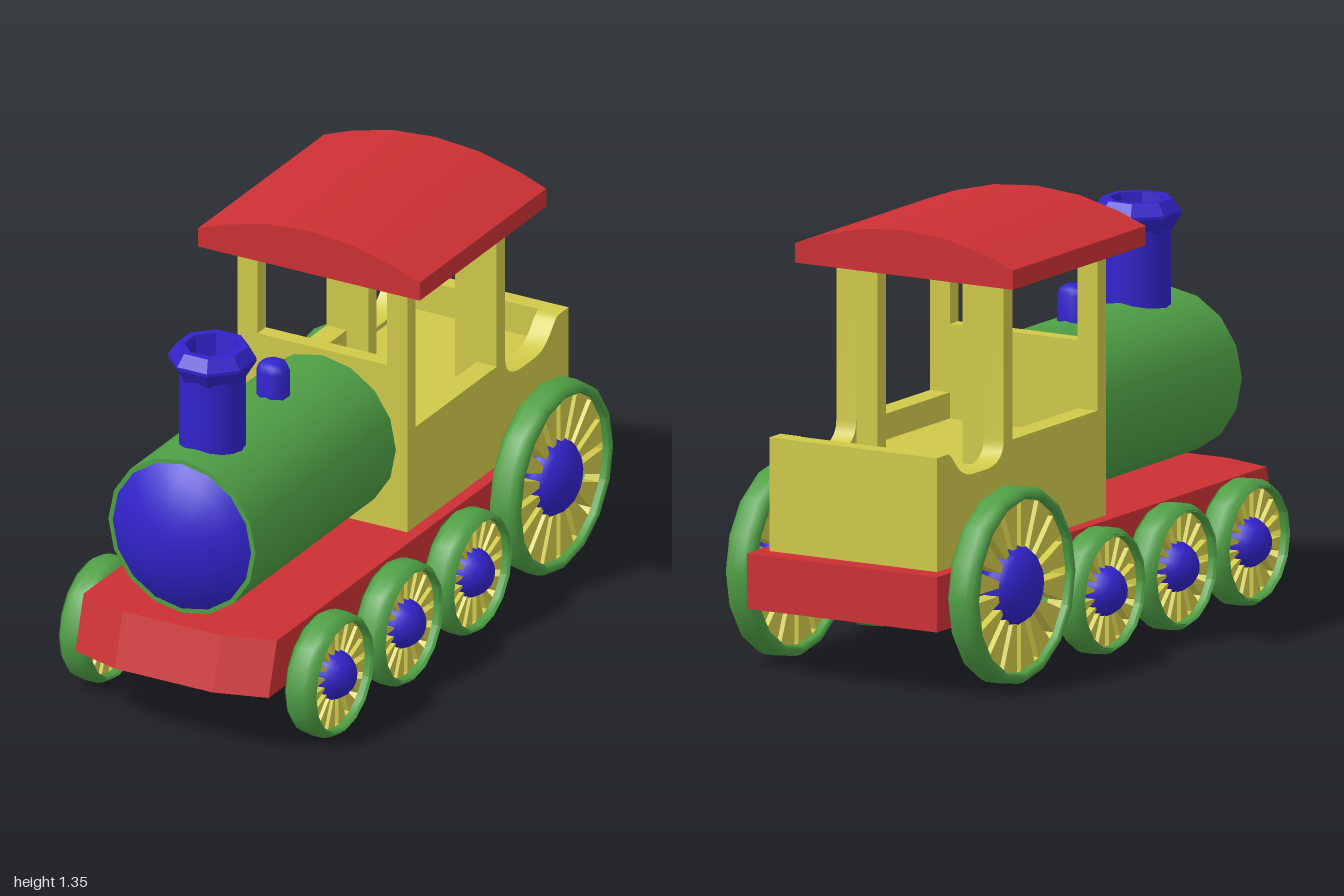
import * as THREE from 'three';
import { toCreasedNormals } from 'three/addons/utils/BufferGeometryUtils.js';
import { ConvexGeometry } from 'three/addons/geometries/ConvexGeometry.js';

const paint = (name, color) => {
  const m = new THREE.MeshStandardMaterial({ color });
  m.name = name;
  return m;
};

export function createModel() {
  const red = paint('red', 0xcc3033);
  const green = paint('green', 0x4f9f45);
  const blue = paint('blue', 0x3223cc);
  const yellow = paint('yellow', 0xcfc94a);
  const model = new THREE.Group();
  model.name = 'toyLocomotive';

  const add = (name, geometry, material, x = 0, y = 0, z = 0, parent = model) => {
    const mesh = new THREE.Mesh(geometry, material);
    mesh.name = name;
    mesh.position.set(x, y, z);
    parent.add(mesh);
    return mesh;
  };
  // Box given by its min and max corners
  const box = (name, material, [x0, y0, z0], [x1, y1, z1]) =>
    add(name, new THREE.BoxGeometry(x1 - x0, y1 - y0, z1 - z0), material,
      (x0 + x1) / 2, (y0 + y1) / 2, (z0 + z1) / 2);
  const extrude = (shape, depth, curveSegments = 6) =>
    new THREE.ExtrudeGeometry(shape, { depth, bevelEnabled: false, curveSegments });
  const lathe = (points, sides, crease = 0.6) =>
    toCreasedNormals(new THREE.LatheGeometry(points.map(([r, y]) => new THREE.Vector2(r, y)), sides), crease);
  const polygon = (points) => new THREE.Shape(points.map(([x, y]) => new THREE.Vector2(x, y)));

  // Chassis with a pointed, sloping nose
  const outline = [[0.335, -1], [0.335, 0.95], [0.17, 1], [-0.17, 1], [-0.335, 0.95], [-0.335, -1]];
  const chassis = [];
  for (const [x, z] of outline) {
    chassis.push(new THREE.Vector3(x, 0.22, z), new THREE.Vector3(x, 0.39, z > 0 ? z - 0.05 : z));
  }
  add('chassis', new ConvexGeometry(chassis), red);

  // Boiler and its domed nose
  const boiler = new THREE.CylinderGeometry(0.255, 0.255, 0.85, 16);
  add('boiler', boiler.rotateX(Math.PI / 2), green, 0, 0.655, 0.465);
  const dome = [];
  const domeR = 0.365, domeA = Math.asin(0.24 / domeR);
  for (let i = 0; i <= 5; i++) {
    const a = domeA * (1 - i / 5);
    dome.push([domeR * Math.sin(a), domeR * (Math.cos(a) - Math.cos(domeA))]);
  }
  add('boilerNose', lathe(dome, 16).rotateX(Math.PI / 2), blue, 0, 0.655, 0.89);

  // Chimney with an eight-sided hollow crown
  add('chimney', new THREE.CylinderGeometry(0.102, 0.102, 0.27, 16), blue, 0, 0.995, 0.705);
  const crown = lathe([[0.1, 1.115], [0.134, 1.17], [0.134, 1.18], [0.108, 1.217], [0.085, 1.217],
    [0.075, 1.14], [0, 1.14]], 8, 0.3);
  add('chimneyCrown', crown.rotateY(Math.PI / 8), blue, 0, 0, 0.705);

  // Small steam dome
  const steamDome = lathe([[0.051, 0.88], [0.051, 0.985], [0.043, 1.005], [0.025, 1.015], [0, 1.017]], 8, 0.9);
  add('steamDome', steamDome.rotateY(Math.PI / 8), blue, 0, 0, 0.338);

  // Cab side walls: doorway-like window, rear pillar and swept coal bunker edge
  const side = new THREE.Shape();
  side.moveTo(-0.04, 0.39);
  side.lineTo(0.935, 0.39);
  side.lineTo(0.935, 0.74);
  side.lineTo(0.875, 0.74);
  side.quadraticCurveTo(0.86, 0.74, 0.835, 0.71);
  side.quadraticCurveTo(0.79, 0.655, 0.73, 0.655);
  side.lineTo(0.64, 0.655);
  side.quadraticCurveTo(0.55, 0.66, 0.55, 0.73);
  side.lineTo(0.55, 1.22);
  side.lineTo(0.5, 1.22);
  side.lineTo(0.5, 0.72);
  side.lineTo(0.01, 0.72);
  side.lineTo(0.01, 1.22);
  side.lineTo(-0.04, 1.22);
  const sideGeometry = toCreasedNormals(extrude(side, 0.07).rotateY(Math.PI / 2), 0.6);
  for (const s of [1, -1]) {
    add('cabSide', sideGeometry, yellow, s > 0 ? 0.225 : -0.295, 0, 0);
    const x = [0.15 * s, 0.225 * s].sort((a, b) => a - b);
    box('rearPillar', yellow, [x[0], 0.6, -0.55], [x[1], 1.22, -0.5]);
  }

  // Cab front wall below the window, floor and back wall
  box('cabFront', yellow, [-0.225, 0.39, -0.01], [0.225, 0.93, 0.04]);
  box('cabFloor', yellow, [-0.225, 0.39, -0.88], [0.225, 0.64, -0.01]);
  box('cabBack', yellow, [-0.225, 0.39, -0.935], [0.225, 0.74, -0.88]);

  // Arched roof
  const roof = polygon([[-0.385, 1.215], [0.385, 1.215], [0.385, 1.275], [0.29, 1.31], [0.15, 1.345],
    [0, 1.357], [-0.15, 1.345], [-0.29, 1.31], [-0.385, 1.275]]);
  add('roof', toCreasedNormals(extrude(roof, 0.765), 0.6), red, 0, 0, -0.643);

  // Wheel: rounded tyre, slotted spoke disc and bulging hub
  const wheel = (r, rim, hub, slots, slotWidth, x, z) => {
    const group = new THREE.Group();
    group.name = 'wheel';
    group.position.set(x, r + 0.01, z);
    model.add(group);
    const i = r - rim;
    const tyre = lathe([[i, -0.045], [i + 0.008, -0.053], [r - 0.022, -0.053], [r - 0.006, -0.04], [r, -0.02],
      [r, 0.02], [r - 0.006, 0.04], [r - 0.022, 0.053], [i + 0.008, 0.053], [i, 0.045], [i, -0.045]], 16, 0.8);
    add('tyre', tyre.rotateZ(-Math.PI / 2), green, 0, 0, 0, group);

    const disc = new THREE.Shape().absarc(0, 0, i + 0.01, 0, Math.PI * 2);
    for (let k = 0; k < slots; k++) {
      const a = (k / slots) * Math.PI * 2, c = Math.cos(a), s = Math.sin(a), w = slotWidth / 2;
      const corners = [[hub * 0.9, -w], [hub * 0.9, w], [i - 0.003, w], [i - 0.003, -w]];
      disc.holes.push(new THREE.Path(corners.map(([u, v]) => new THREE.Vector2(u * c - v * s, u * s + v * c))));
    }
    const spokes = extrude(disc, 0.05, 16).translate(0, 0, -0.025).rotateY(Math.PI / 2);
    add('spokes', spokes, yellow, 0, 0, 0, group);

    const cap = new THREE.SphereGeometry(hub, 16, 12).rotateZ(Math.PI / 2);
    add('hub', cap, blue, 0, 0, 0, group).scale.x = 0.085 / hub;
  };
  for (const x of [0.392, -0.392]) {
    for (const z of [0.68, 0.262, -0.153]) wheel(0.195, 0.025, 0.08, 16, 0.022, x, z);
    wheel(0.303, 0.035, 0.125, 16, 0.025, x, -0.662);
  }
  return model;
}
